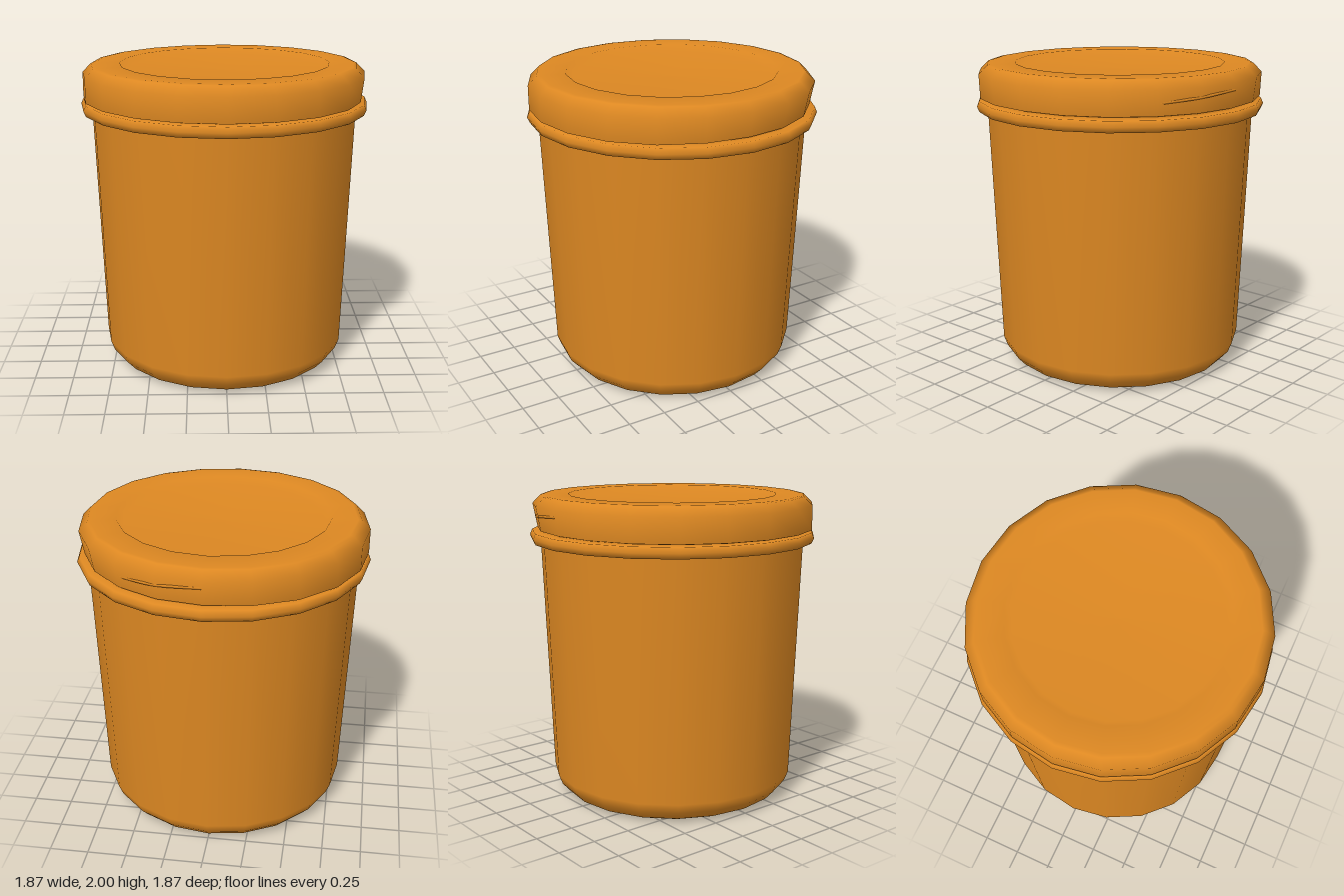
import * as THREE from 'three';

const SIDES = 20;

export function createModel() {
  const group = new THREE.Group();
  const orange = new THREE.MeshStandardMaterial({ color: 0xdd8822 });

  const add = (name, geometry) => {
    const mesh = new THREE.Mesh(geometry, orange);
    mesh.name = name;
    group.add(mesh);
    return mesh;
  };
  // Profile of [radius, height] points, running from the bottom up the outside
  const turn = (profile) =>
    new THREE.LatheGeometry(profile.map(([r, y]) => new THREE.Vector2(r, y)), SIDES);

  // Tapered tub with rounded foot, hollowed base and a neck under the lid
  add('tub', turn([
    [0, 0.03], [0.5, 0.03], [0.54, 0.005], [0.68, 0.005], [0.735, 0.03], [0.785, 0.085],
    [0.81, 0.15], [0.865, 1.7], [0.865, 1.8], [0, 1.8],
  ]));

  // Bevelled collar below the lid
  add('collar', turn([
    [0.85, 1.7], [0.92, 1.7], [0.935, 1.735], [0.92, 1.77], [0.85, 1.77],
  ]));

  // Lid with chamfered rim and shallow dished top
  const lid = turn([
    [0, 1.78], [0.9, 1.78], [0.92, 1.785], [0.92, 1.94], [0.865, 1.995],
    [0.84, 2], [0.68, 2], [0.64, 1.96], [0, 1.95],
  ]);
  // The skirt draws in slightly at the back right
  const p = lid.attributes.position;
  for (let i = 0; i < p.count; i++) {
    const x = p.getX(i), y = p.getY(i), z = p.getZ(i);
    const r = Math.hypot(x, z);
    if (r < 0.85) continue;
    const side = Math.max(0, (x - z) / r);
    const k = 1 - Math.min(side, 1) * (y < 1.9 ? 0.04 : 0.008);
    p.setX(i, x * k);
    p.setZ(i, z * k);
  }
  add('lid', lid);

  // Thin raised seam on the back of the lid
  const seam = new THREE.CatmullRomCurve3([
    new THREE.Vector3(0.52, 1.86, -0.72),
    new THREE.Vector3(0.28, 1.88, -0.852),
    new THREE.Vector3(0, 1.9, -0.9),
  ]);
  add('lidSeam', new THREE.TubeGeometry(seam, 8, 0.009, 5));

  return group;
}
